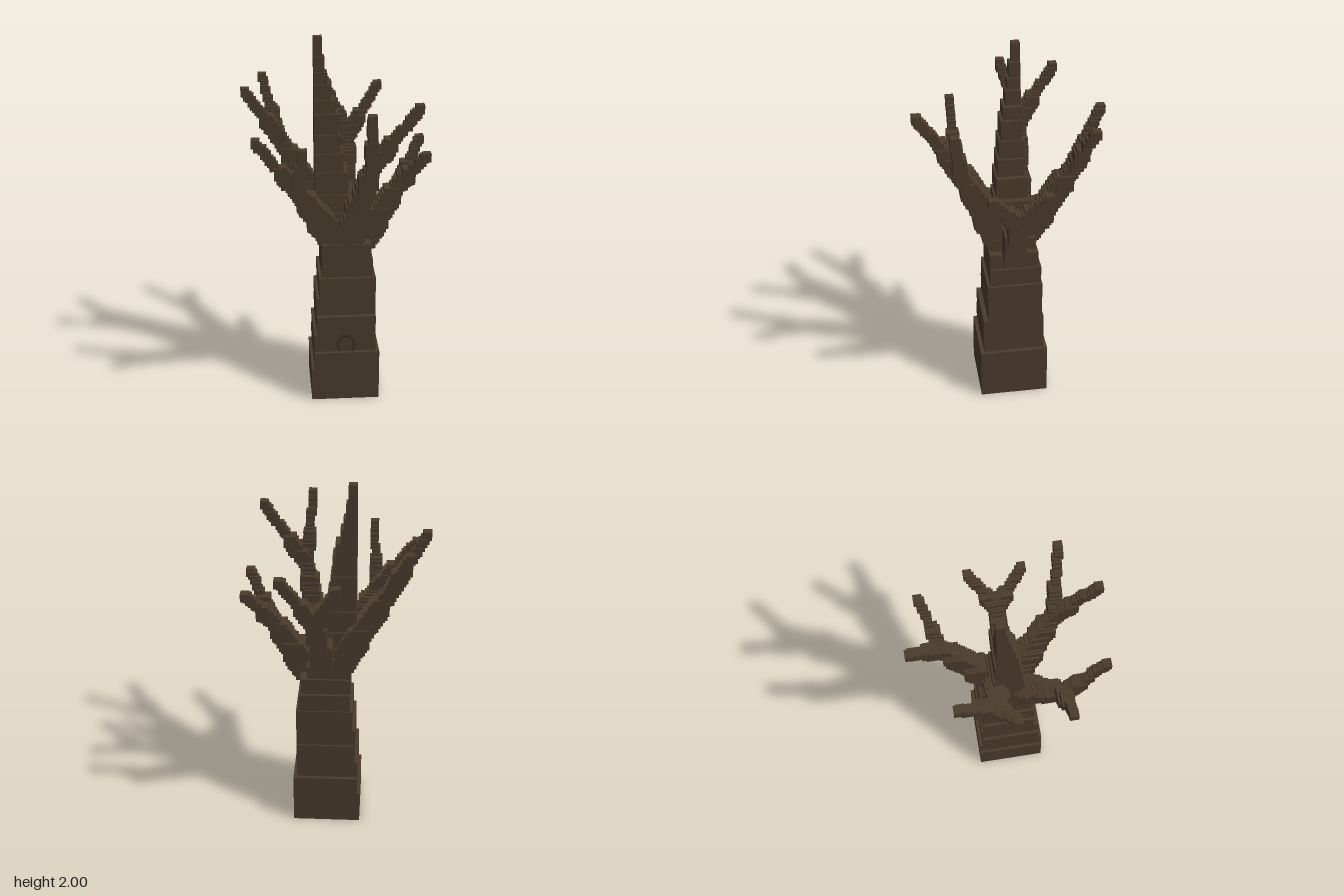
import * as THREE from 'three';

const UNIT = 0.0225;
const bark = new THREE.MeshStandardMaterial({ color: 0x4b3c2c, flatShading: true });
const darkBark = new THREE.MeshStandardMaterial({ color: 0x3d3023, flatShading: true });
const snap = (v, s) => Math.round(v / s) * s;

function box(parent, name, x0, x1, y0, y1, z0, z1) {
  const mesh = new THREE.Mesh(new THREE.BoxGeometry(x1 - x0, y1 - y0, z1 - z0), bark);
  mesh.name = name;
  mesh.position.set((x0 + x1) / 2, (y0 + y1) / 2, (z0 + z1) / 2);
  parent.add(mesh);
}

// A tapering run of axis-aligned blocks from a to b, snapped to a grid
function limb(parent, name, a, b, w0, w1) {
  const group = new THREE.Group();
  group.name = name;
  const from = new THREE.Vector3(...a), to = new THREE.Vector3(...b);
  const steps = Math.ceil(from.distanceTo(to) / UNIT);
  for (let i = 0; i <= steps; i++) {
    const t = i / steps;
    const p = from.clone().lerp(to, t);
    const h = Math.max(UNIT, snap((w0 + (w1 - w0) * t) / 2, UNIT / 2));
    const [x, y, z] = p.toArray().map((v) => snap(v, UNIT / 2));
    box(group, name + 'Block', x - h, x + h, y - h, y + h, z - h, z + h);
  }
  parent.add(group);
}

export function createModel() {
  const tree = new THREE.Group();
  tree.name = 'tree';

  // Trunk tiers: y0, y1, x0, x1, z0, z1
  const trunk = new THREE.Group();
  trunk.name = 'trunk';
  [
    [0, 0.19, -0.14, 0.23, -0.185, 0.185],
    [0.19, 0.29, -0.125, 0.23, -0.185, 0.185],
    [0.29, 0.39, -0.125, 0.21, -0.165, 0.165],
    [0.39, 0.5, -0.11, 0.21, -0.165, 0.165],
    [0.5, 0.6, -0.11, 0.21, -0.155, 0.14],
    [0.6, 0.72, -0.095, 0.21, -0.155, 0.14],
    [0.72, 0.82, -0.08, 0.195, -0.15, 0.125],
    [0.82, 0.91, -0.08, 0.185, -0.135, 0.125],
    [0.91, 0.98, -0.08, 0.15, -0.125, 0.11],
  ].forEach(([y0, y1, x0, x1, z0, z1]) => box(trunk, 'trunkTier', x0, x1, y0, y1, z0, z1));
  tree.add(trunk);

  // Knot on the front of the trunk
  const knot = new THREE.Mesh(new THREE.TorusGeometry(0.045, 0.008, 6, 16), darkBark);
  knot.name = 'knot';
  knot.position.set(0.05, 0.33, 0.165);
  knot.scale.set(1, 1.3, 0.4);
  tree.add(knot);

  // Central leader: tiers narrowing toward the back left corner
  const leader = new THREE.Group();
  leader.name = 'leader';
  [
    [0.96, 1.08, -0.1, 0.13, -0.11, 0.09],
    [1.08, 1.18, -0.1, 0.1, -0.1, 0.08],
    [1.18, 1.3, -0.11, 0.065, -0.09, 0.07],
    [1.3, 1.4, -0.11, 0.04, -0.08, 0.06],
    [1.4, 1.5, -0.11, 0.025, -0.08, 0.05],
    [1.5, 1.61, -0.11, 0.015, -0.07, 0.04],
    [1.61, 1.68, -0.11, 0, -0.07, 0.025],
    [1.68, 1.76, -0.11, -0.025, -0.07, 0.01],
    [1.76, 1.82, -0.11, -0.04, -0.07, 0],
    [1.82, 1.9, -0.11, -0.053, -0.07, -0.012],
    [1.9, 2, -0.11, -0.065, -0.07, -0.025],
  ].forEach(([y0, y1, x0, x1, z0, z1]) => box(leader, 'leaderTier', x0, x1, y0, y1, z0, z1));
  tree.add(leader);

  // Forked branches: a stem from the trunk, then two twigs
  [
    { name: 'leftBranch', base: [0.16, 0.91, 0], fork: [0.34, 1.2, 0],
      tips: [[0.46, 1.41, 0.146], [0.46, 1.41, -0.135]] },
    { name: 'backBranch', base: [0.06, 0.96, -0.07], fork: [0.09, 1.36, -0.33],
      tips: [[-0.023, 1.635, -0.48], [0.26, 1.635, -0.4]] },
    { name: 'rightBranch', base: [-0.04, 1.0, -0.06], fork: [-0.29, 1.45, -0.1],
      tips: [[-0.37, 1.72, -0.29], [-0.46, 1.72, -0.022]] },
    { name: 'frontRightBranch', base: [-0.04, 0.97, 0.06], fork: [-0.2, 1.26, 0.25],
      tips: [[-0.415, 1.54, 0.26], [-0.195, 1.55, 0.46]] },
    { name: 'frontLeftBranch', base: [0.08, 0.97, 0.07], fork: [0.17, 1.4, 0.265],
      tips: [[0.146, 1.72, 0.47], [0.395, 1.72, 0.315]] },
  ].forEach(({ name, base, fork, tips }) => {
    const branch = new THREE.Group();
    branch.name = name;
    limb(branch, 'stem', base, fork, 0.12, 0.07);
    tips.forEach((tip) => limb(branch, 'twig', fork, tip, 0.065, 0.045));
    tree.add(branch);
  });

  return tree;
}
